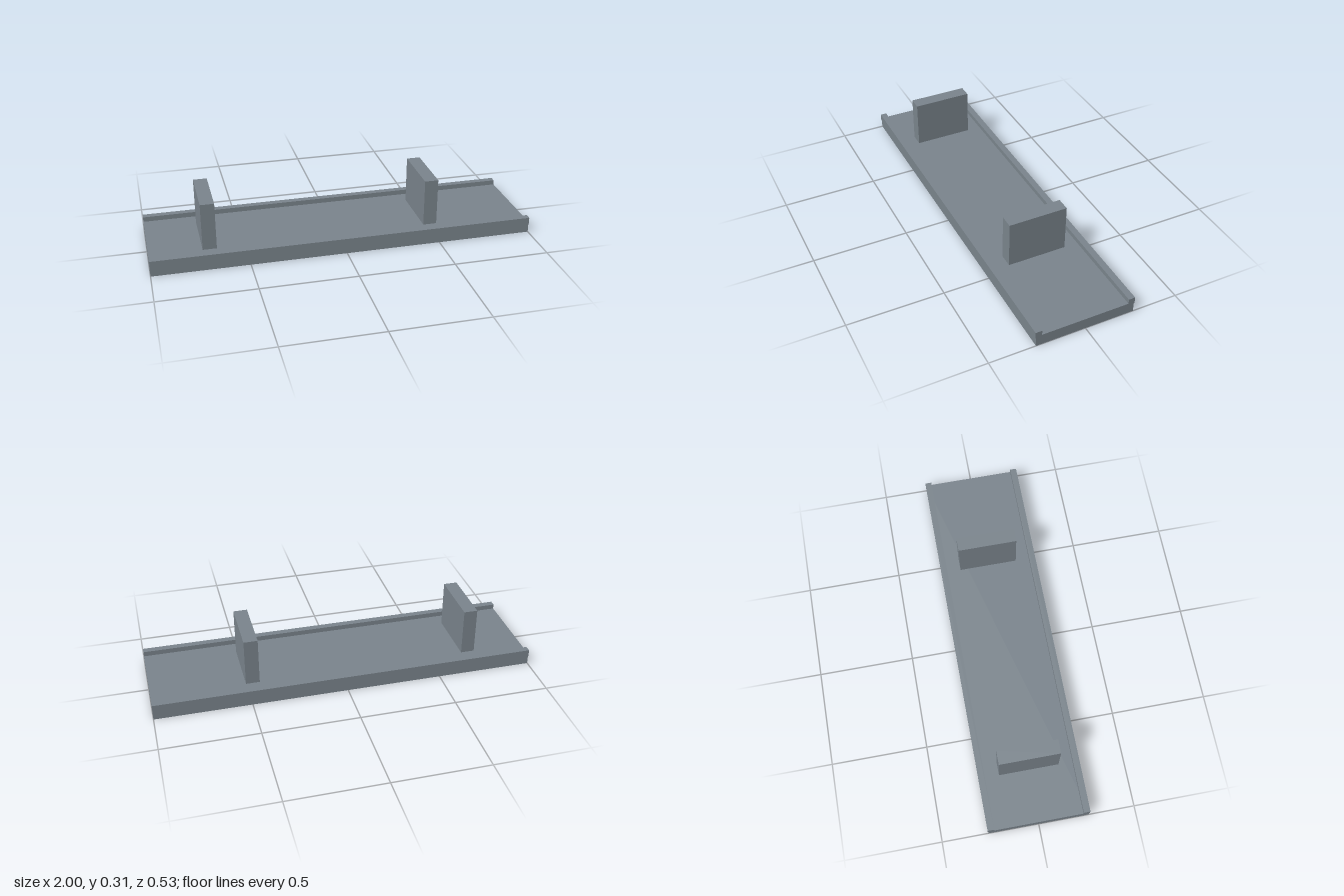
import * as THREE from 'three';

export function createModel() {
  const model = new THREE.Group();
  const greyMetal = new THREE.MeshStandardMaterial({ color: 0x7a848c });
  greyMetal.name = 'slateGrey';

  // Box given by its extents on each axis
  function block(name, [x0, x1], [y0, y1], [z0, z1]) {
    const mesh = new THREE.Mesh(new THREE.BoxGeometry(x1 - x0, y1 - y0, z1 - z0), greyMetal);
    mesh.name = name;
    mesh.position.set((x0 + x1) / 2, (y0 + y1) / 2, (z0 + z1) / 2);
    model.add(mesh);
  }

  // Flat deck
  block('deck', [-1, 1], [0, 0.059], [-0.26, 0.26]);

  // Edge rails, overhanging the deck slightly
  block('frontRail', [-1, 1], [0.049, 0.085], [0.23, 0.264]);
  block('backRail', [-1, 1], [0.049, 0.085], [-0.264, -0.23]);

  // Upright plates across the deck
  block('rightUpright', [-0.728, -0.656], [0.059, 0.31], [-0.156, 0.156]);
  block('leftUpright', [0.443, 0.515], [0.059, 0.31], [-0.156, 0.156]);

  return model;
}
